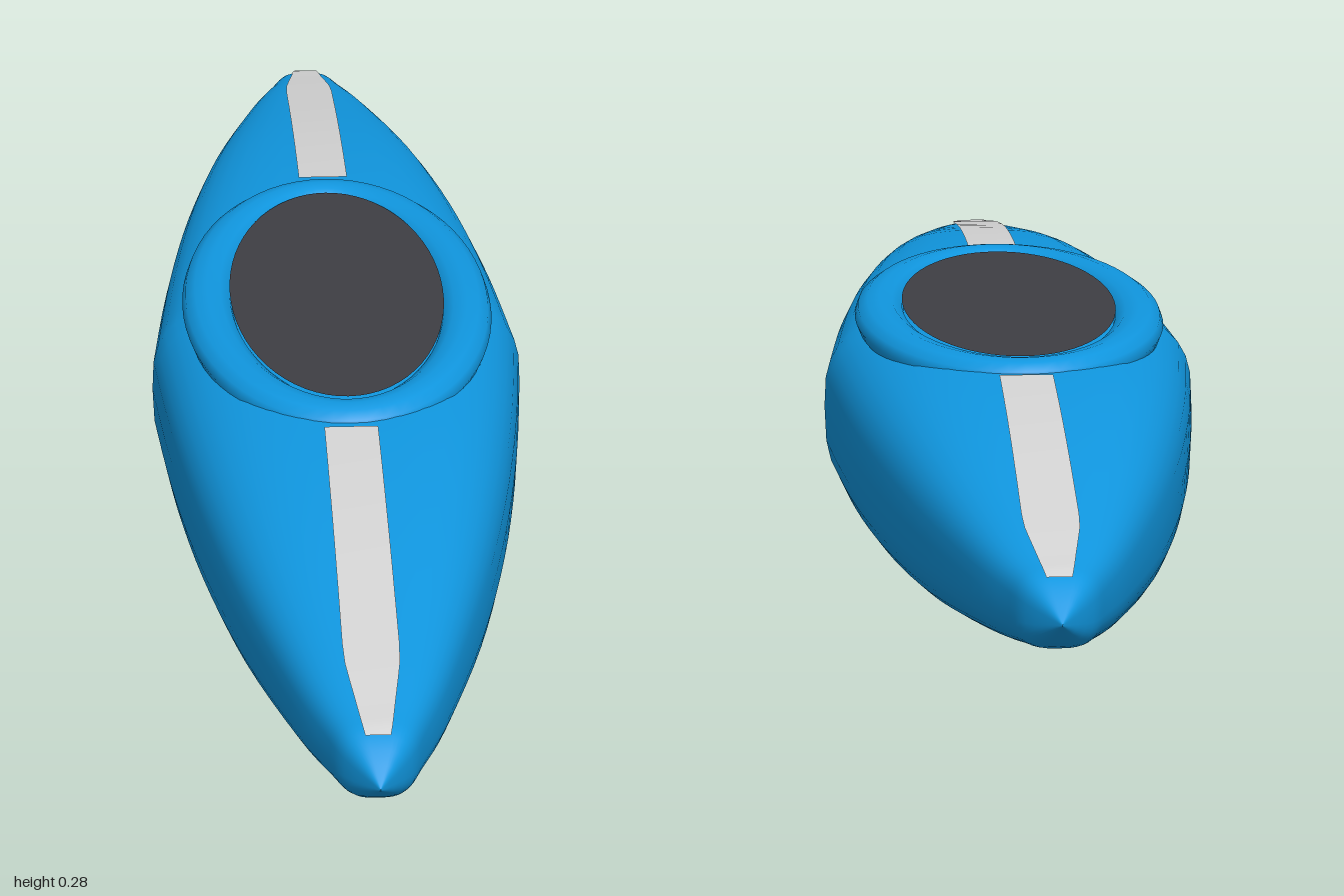
import * as THREE from 'three';

const blue = new THREE.MeshStandardMaterial({ name: 'hull blue', color: 0x1097e0 });
const grey = new THREE.MeshStandardMaterial({ name: 'stripe grey', color: 0xd4d4d4 });
const dark = new THREE.MeshStandardMaterial({ name: 'cockpit dark', color: 0x3e3e44 });

const MID = 0.15; // height of the widest line

// Half-hull stations from the middle to the tip: z, half width, deck height, keel height
const stations = [
  [0, 0.226, 0.276, 0], [0.2, 0.207, 0.275, 0.01], [0.4, 0.179, 0.267, 0.025],
  [0.6, 0.14, 0.247, 0.047], [0.8, 0.088, 0.215, 0.08], [0.9, 0.055, 0.197, 0.1],
  [0.95, 0.036, 0.186, 0.113], [1, 0, 0.151, 0.15],
];
const plan = new THREE.SplineCurve(stations.map(s => new THREE.Vector2(s[0], s[1])));
const profile = new THREE.SplineCurve(stations.map(s => new THREE.Vector2(s[2], s[3])));
const STEPS = 28;

function station(k) {
  const a = plan.getPoint(k / STEPS), b = profile.getPoint(k / STEPS);
  return { z: a.x, w: Math.max(0, a.y), top: b.x, bottom: Math.max(0, b.y) };
}

// Skin a list of equal-length closed rings; loop joins the last ring to the first
function loft(rings, loop) {
  const n = rings[0].length, index = [];
  for (let i = 0; i < rings.length - (loop ? 0 : 1); i++) {
    const p = i * n, q = ((i + 1) % rings.length) * n;
    for (let j = 0; j < n; j++) {
      const k = (j + 1) % n;
      index.push(p + j, p + k, q + j, p + k, q + k, q + j);
    }
  }
  const geo = new THREE.BufferGeometry();
  geo.setAttribute('position', new THREE.Float32BufferAttribute(rings.flat(2), 3));
  geo.setIndex(index);
  geo.computeVertexNormals();
  return geo;
}

// Rounded-box cross-sections swept from tip to tip
function hullGeometry() {
  const rings = [], soft = v => Math.sign(v) * Math.abs(v) ** (2 / 3);
  for (let i = -STEPS; i <= STEPS; i++) {
    const s = station(Math.abs(i)), ring = [];
    for (let j = 0; j < 40; j++) {
      const a = (j / 40) * Math.PI * 2, v = soft(Math.sin(a));
      ring.push([s.w * soft(Math.cos(a)), MID + v * (v > 0 ? s.top - MID : MID - s.bottom), Math.sign(i) * s.z]);
    }
    rings.push(ring);
  }
  return loft(rings, false);
}

// Padded oval rim of even width
function rimGeometry() {
  const rings = [], A = 0.157, B = 0.329;
  for (let i = 0; i < 64; i++) {
    const u = (i / 64) * Math.PI * 2, c = Math.cos(u), s = Math.sin(u);
    const normal = new THREE.Vector2(c / A, s / B).normalize(), ring = [];
    for (let j = 0; j < 12; j++) {
      const v = (j / 12) * Math.PI * 2, r = 0.031 * Math.cos(v);
      ring.push([A * c + normal.x * r, 0.261 + 0.022 * Math.sin(v), B * s + normal.y * r]);
    }
    rings.push(ring);
  }
  return loft(rings, true);
}

// Ribbon lying just above the deck, narrowing with the hull
function stripeGeometry() {
  const pos = [], index = [];
  for (let k = 7.4; k <= 24; k = Math.floor(k) + 1) {
    const s = station(k), w = Math.min(0.031, s.w * 0.38), y = s.top + 0.003;
    pos.push(-w, y, s.z, w, y, s.z);
    const n = pos.length / 3;
    if (n > 2) index.push(n - 4, n - 2, n - 3, n - 3, n - 2, n - 1);
  }
  const geo = new THREE.BufferGeometry();
  geo.setAttribute('position', new THREE.Float32BufferAttribute(pos, 3));
  geo.setIndex(index);
  geo.computeVertexNormals();
  return geo;
}

export function createModel() {
  const model = new THREE.Group();
  model.name = 'kayak';
  const add = (name, geo, mat) => {
    const mesh = new THREE.Mesh(geo, mat);
    mesh.name = name;
    model.add(mesh);
    return mesh;
  };

  add('hull', hullGeometry(), blue);
  add('cockpitRim', rimGeometry(), blue);

  // Flat oval opening inside the rim
  const opening = new THREE.CircleGeometry(1, 64).rotateX(-Math.PI / 2).scale(0.13, 1, 0.303);
  add('cockpitOpening', opening, dark).position.y = 0.2785;

  // Deck stripes fore and aft
  const stripe = stripeGeometry();
  add('frontStripe', stripe, grey);
  add('backStripe', stripe, grey).rotation.y = Math.PI;
  return model;
}
